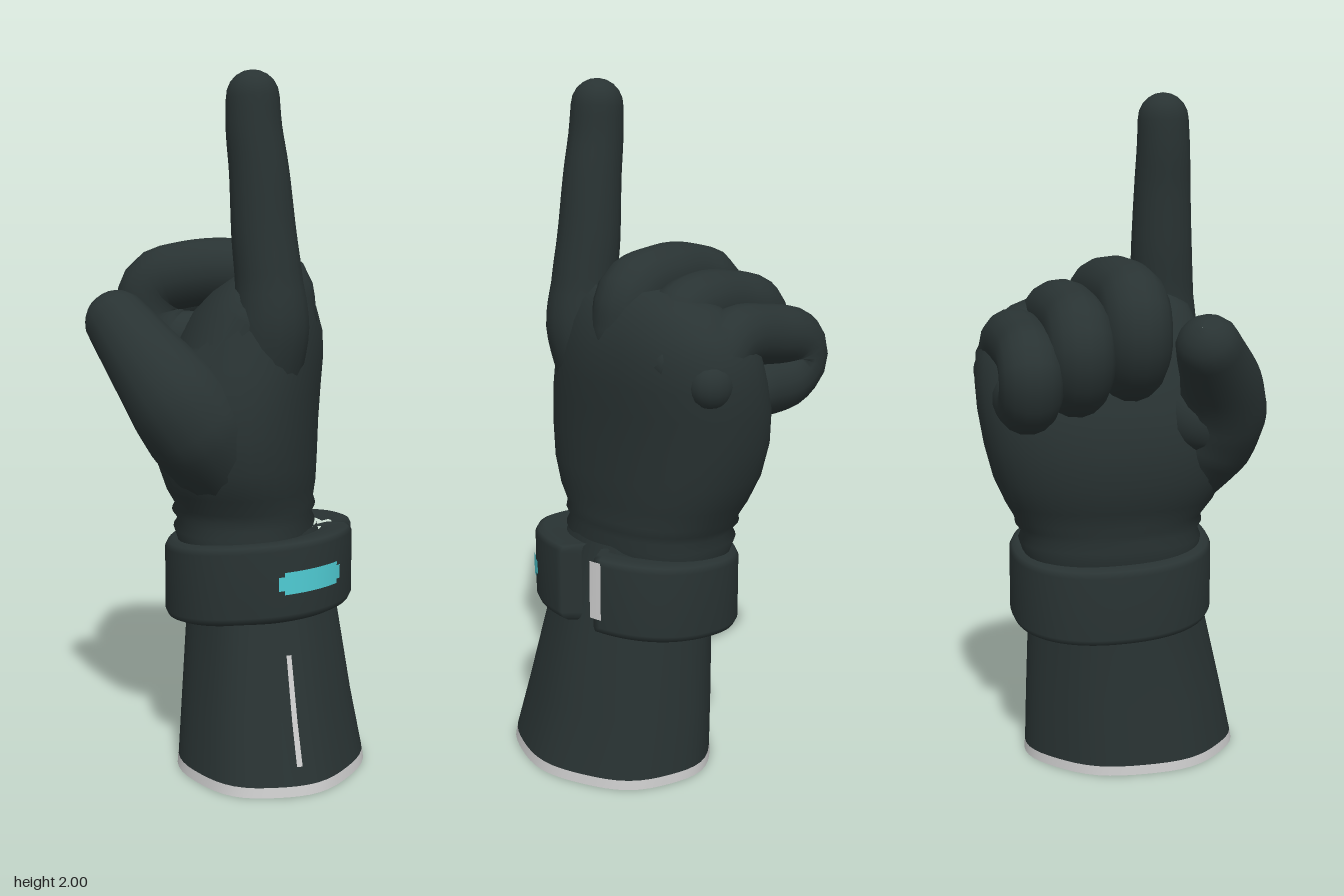
import * as THREE from 'three';

const dark = new THREE.MeshStandardMaterial({ color: 0x293333 });
dark.name = 'dark fabric';
const light = new THREE.MeshStandardMaterial({ color: 0xcccccc });
light.name = 'light lining';
const teal = new THREE.MeshStandardMaterial({ color: 0x4fcbd3 });
teal.name = 'teal light';

function surface(positions, rows, cols, closed, flip) {
  const index = [];
  const span = closed ? cols : cols - 1;
  for (let j = 0; j < rows - 1; j++) {
    for (let i = 0; i < span; i++) {
      const a = j * cols + i, b = j * cols + (i + 1) % cols;
      const c = a + cols, d = b + cols;
      if (flip) index.push(a, b, c, b, d, c);
      else index.push(a, c, b, b, c, d);
    }
  }
  const geo = new THREE.BufferGeometry();
  geo.setAttribute('position', new THREE.Float32BufferAttribute(positions, 3));
  geo.setIndex(index);
  geo.computeVertexNormals();
  return geo;
}

// Stacks oval sections [y, xMin, xMax, zMin, zMax]; an angle range makes a patch.
function loft(sections, { from = 0, to = Math.PI * 2, n = 40, power = 2, scale = 1,
  ripple = 0, tiltX = 0, tiltZ = 0, dip = 0 } = {}) {
  const closed = to - from > 6.28;
  const cols = closed ? n : n + 1;
  const pos = [];
  const bend = v => Math.sign(v) * Math.abs(v) ** (2 / power);
  for (const [y, x0, x1, z0, z1] of sections) {
    for (let i = 0; i < cols; i++) {
      const a = from + (to - from) * i / n;
      const end = !closed && (i === 0 || i === n) ? 1 - dip : 1;
      const k = scale * end * (1 + ripple * Math.cos(7 * a));
      const dx = k * (x1 - x0) / 2 * bend(Math.cos(a));
      const dz = k * (z1 - z0) / 2 * bend(Math.sin(a));
      pos.push((x0 + x1) / 2 + dx, y + tiltX * dx + tiltZ * dz, (z0 + z1) / 2 + dz);
    }
  }
  return surface(pos, sections.length, cols, closed, false);
}

// Round-ended tube through points [x, y, z, radius].
function finger(points, steps = 28, sides = 16) {
  const curve = new THREE.CatmullRomCurve3(points.map(p => new THREE.Vector3(p[0], p[1], p[2])));
  const frames = curve.computeFrenetFrames(steps);
  const rings = [];
  const last = points.length - 1;
  const cap = (i, dir) => {
    const r = points[i ? last : 0][3];
    for (let k = 1; k <= 5; k++) {
      const a = k / 5 * Math.PI / 2;
      const c = curve.getPointAt(i / steps).addScaledVector(frames.tangents[i], dir * r * Math.sin(a));
      rings[dir < 0 ? 'unshift' : 'push']([c, Math.max(r * Math.cos(a), 0.001), i]);
    }
  };
  for (let i = 0; i <= steps; i++) {
    const t = curve.getUtoTmapping(i / steps) * last;
    const s = Math.min(Math.floor(t), last - 1);
    const r = THREE.MathUtils.lerp(points[s][3], points[s + 1][3], t - s);
    rings.push([curve.getPointAt(i / steps), r, i]);
  }
  cap(0, -1);
  cap(steps, 1);
  const pos = [];
  for (const [c, r, f] of rings) {
    for (let i = 0; i < sides; i++) {
      const a = i / sides * Math.PI * 2;
      const p = c.clone().addScaledVector(frames.normals[f], r * Math.cos(a))
        .addScaledVector(frames.binormals[f], r * Math.sin(a));
      pos.push(p.x, p.y, p.z);
    }
  }
  return surface(pos, rings.length, sides, true, true);
}

export function createModel() {
  const group = new THREE.Group();
  const add = (name, geo, mat = dark) => {
    const mesh = new THREE.Mesh(geo, mat);
    mesh.name = name;
    group.add(mesh);
    return mesh;
  };

  // Flared sleeve with soft folds, pale hem and lining
  const hem = [0.028, -0.157, 0.387, -0.268, 0.385];
  const sleeve = [hem, [0.2, -0.15, 0.35, -0.265, 0.345],
    [0.45, -0.14, 0.305, -0.258, 0.285], [0.7, -0.15, 0.24, -0.26, 0.25]];
  add('sleeve', loft(sleeve, { ripple: 0.012, n: 56 }));
  const base = [0, -0.16, 0.392, -0.27, 0.39];
  add('hem', loft([base, hem], { ripple: 0.012, n: 56 }), light);
  add('lining', loft([[0.03, 0.11, 0.112, 0.06, 0.062], base], { ripple: 0.012, n: 56 }), light);
  add('sleeveSeam', loft([[0.08, -0.155, 0.376, -0.267, 0.373], sleeve[1], [0.38, -0.143, 0.317, -0.26, 0.302]],
    { from: 1.06, to: 1.12, n: 2, ripple: 0.012, scale: 1.012 }), light);

  // Wrist strap: bevelled ring with a gap on the back of the hand
  const tilt = { power: 2.25, tiltX: 0.1, tiltZ: 0.04 };
  const oval = (y, inset) => [y, -0.205 + inset, 0.35 - inset, -0.31 + inset, 0.3 - inset];
  add('wristStrap', loft([oval(0.46, 0.09), oval(0.45, 0.025), oval(0.458, 0.008), oval(0.475, 0),
    oval(0.66, 0), oval(0.676, 0.008), oval(0.684, 0.025), oval(0.675, 0.09)],
  { ...tilt, from: -0.02, to: Math.PI * 2 - 0.25, n: 96, dip: 0.2 }));
  add('strapTab', loft([oval(0.5, 0), oval(0.67, 0)],
    { ...tilt, from: -0.4, to: -0.28, n: 3, scale: 1.012 }), light);

  // Glowing indicator: wide short plate and narrow tall plate form a pill
  for (const [a0, a1, h] of [[0.48, 1.27, 0.02], [0.54, 1.21, 0.032]]) {
    add('indicator', loft([oval(0.567 - h, 0), oval(0.567 + h, 0)],
      { ...tilt, from: a0, to: a1, n: 12, scale: 1.016 }), teal);
  }

  // Palm and back of the hand, with wrist creases
  add('palm', loft([
    [0.64, -0.16, 0.22, -0.27, 0.25], [0.7, -0.18, 0.235, -0.29, 0.26],
    [0.725, -0.165, 0.222, -0.28, 0.25], [0.75, -0.185, 0.235, -0.3, 0.262],
    [0.77, -0.175, 0.228, -0.302, 0.26], [0.82, -0.2, 0.235, -0.33, 0.295],
    [0.9, -0.225, 0.238, -0.366, 0.33], [1.0, -0.235, 0.24, -0.392, 0.34],
    [1.1, -0.22, 0.245, -0.408, 0.33], [1.18, -0.19, 0.25, -0.412, 0.305],
    [1.26, -0.16, 0.248, -0.405, 0.28], [1.33, -0.12, 0.23, -0.37, 0.255],
    [1.39, -0.06, 0.2, -0.3, 0.23], [1.43, 0, 0.16, -0.2, 0.18],
    [1.435, 0.06, 0.062, 0, 0.002]], { power: 2.3 }));

  // Raised index finger
  add('indexFinger', finger([[0.09, 1.14, 0.14, 0.115], [0.125, 1.3, 0.165, 0.11],
    [0.12, 1.42, 0.165, 0.096], [0.105, 1.55, 0.16, 0.092], [0.09, 1.73, 0.158, 0.084],
    [0.076, 1.84, 0.157, 0.079], [0.072, 1.925, 0.155, 0.075]]));

  // Thumb leaning across the palm, joined to the index finger by a web
  add('thumb', finger([[0.02, 0.86, 0.15, 0.13], [-0.07, 1.02, 0.255, 0.15],
    [-0.125, 1.1, 0.278, 0.14], [-0.19, 1.18, 0.265, 0.12], [-0.305, 1.305, 0.195, 0.093]]));
  add('thumbWeb', finger([[-0.13, 1.08, 0.21, 0.11], [-0.03, 1.16, 0.2, 0.1], [0.07, 1.3, 0.165, 0.1]]));

  // Curled fingers: [name, height shift, start x, knuckle z, fold z, reach, fold drop, radius]
  const curled = [['middleFinger', 0, 0.15, -0.03, 0.005, -0.255, 0.2, 0.098],
    ['ringFinger', -0.06, 0.11, -0.18, -0.155, -0.278, 0.18, 0.094],
    ['littleFinger', -0.135, 0.07, -0.315, -0.295, -0.3, 0.15, 0.088]];
  for (const [name, dy, x, zk, zf, reach, drop, r] of curled) {
    const zm = (zk + zf) / 2;
    const y = 1.442 + dy;
    add(name, finger([[x, y - 0.14, zk, r * 0.9], [x - 0.03, y - 0.03, zk, r * 0.95],
      [-0.02, y, zm, r], [-0.15, y - 0.01, zf, r], [reach + 0.02, y - 0.04, zf, r],
      [reach, y - drop * 0.65, zf, r], [reach + 0.06, y - drop, zf, r * 0.97],
      [-0.1, y - drop - 0.01, zf, r * 0.95]]));
  }

  // Knuckles on the back of the hand
  for (const [x, y, z] of [[0.165, 1.27, -0.12], [0.155, 1.25, -0.24], [0.11, 1.2, -0.345]]) {
    const knuckle = add('knuckle', new THREE.SphereGeometry(0.065, 16, 12));
    knuckle.position.set(x, y, z);
    knuckle.scale.set(1.1, 1.1, 0.95);
  }
  return group;
}
